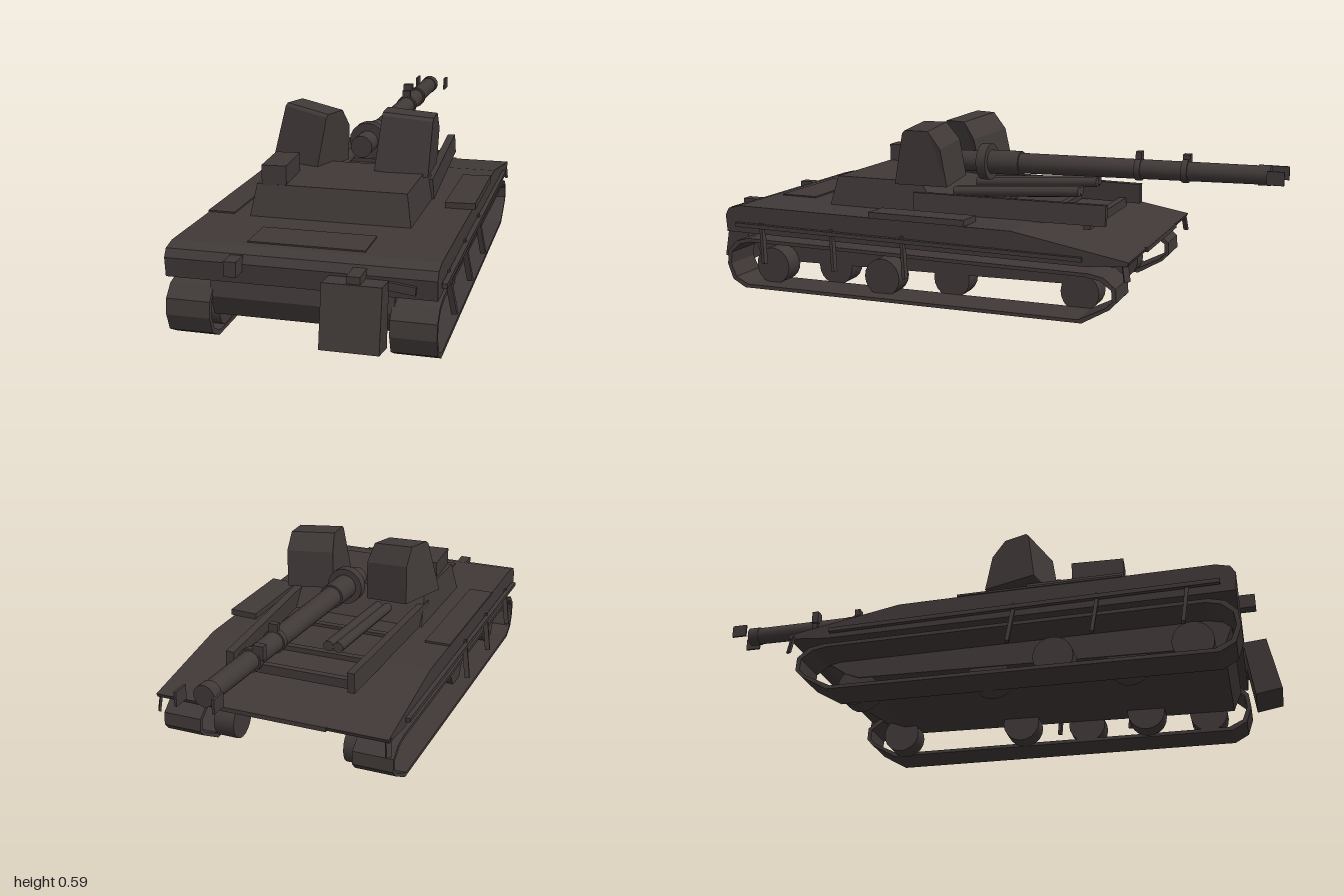
import * as THREE from 'three';

const paint = new THREE.MeshStandardMaterial({ color: 0x403938 });
paint.name = 'dark brown grey';

export function createModel() {
  const model = new THREE.Group();
  model.name = 'trackedVehicle';

  const add = (name, geo) => {
    const mesh = new THREE.Mesh(geo, paint);
    mesh.name = name;
    model.add(mesh);
    return mesh;
  };
  // Side profile of [z, y] points, extruded from x0 to x1
  const prism = (pts, x0, x1, hole) => {
    const toV = ([z, y]) => new THREE.Vector2(-z, y);
    const shape = new THREE.Shape(pts.map(toV));
    if (hole) shape.holes.push(new THREE.Path(hole.map(toV).reverse()));
    return new THREE.ExtrudeGeometry(shape, { depth: x1 - x0, bevelEnabled: false })
      .rotateY(Math.PI / 2).translate(x0, 0, 0);
  };
  // Narrow a geometry in x above a height
  const taper = (geo, height, factor) => {
    const pos = geo.attributes.position;
    for (let i = 0; i < pos.count; i++)
      if (pos.getY(i) > height) pos.setX(i, pos.getX(i) * factor);
    geo.computeVertexNormals();
    return geo;
  };
  // Box given by its limits
  const box = (name, x0, x1, y0, y1, z0, z1) => {
    const m = add(name, new THREE.BoxGeometry(x1 - x0, y1 - y0, z1 - z0));
    m.position.set((x0 + x1) / 2, (y0 + y1) / 2, (z0 + z1) / 2);
    return m;
  };
  // Align a y-axis mesh between two points
  const between = (mesh, a, b) => {
    const p = new THREE.Vector3(...a), q = new THREE.Vector3(...b);
    mesh.position.copy(p).add(q).multiplyScalar(0.5);
    mesh.quaternion.setFromUnitVectors(new THREE.Vector3(0, 1, 0), q.sub(p).normalize());
  };
  const distance = (a, b) => new THREE.Vector3(...a).distanceTo(new THREE.Vector3(...b));
  const rod = (name, a, b, r0, r1 = r0, sides = 16) =>
    between(add(name, new THREE.CylinderGeometry(r1, r0, distance(a, b), sides)), a, b);
  const beam = (name, a, b, w, d) =>
    between(add(name, new THREE.BoxGeometry(w, distance(a, b), d)), a, b);

  // Hull
  add('upperHull', prism([[0.885, 0.53], [0.89, 0.59], [0.875, 0.615], [0.83, 0.626],
    [-0.2, 0.62], [-0.59, 0.553], [-0.585, 0.54], [-0.45, 0.527]], -0.407, 0.41));
  add('lowerHull', prism([[0.85, 0.53], [0.86, 0.47], [0.83, 0.403], [-0.38, 0.43],
    [-0.43, 0.45], [-0.56, 0.54]], -0.28, 0.28));
  box('frontLip', -0.2, 0.2, 0.54, 0.555, -0.595, -0.58);
  box('engineHatch', -0.18, 0.18, 0.624, 0.63, 0.66, 0.8);
  box('deckPlate', -0.41, -0.32, 0.622, 0.629, 0, 0.54);
  const plate = box('stowagePlate', 0.32, 0.42, 0.622, 0.643, -0.04, 0.31);
  plate.rotation.z = 0.03;

  // Hollow track bands
  const loop = [[0.82, 0.329], [0.87, 0.356], [0.89, 0.41], [0.885, 0.46], [0.85, 0.497],
    [0.8, 0.51], [-0.46, 0.506], [-0.51, 0.497], [-0.55, 0.465], [-0.553, 0.42],
    [-0.53, 0.395], [-0.44, 0.342]];
  const inner = loop.map(([z, y]) => [0.168 + (z - 0.168) * 0.98, 0.421 + (y - 0.421) * 0.86]);
  // Wheels as [z, outer x]; the deeper ones sit under the hull
  const wheels = [[0.74, 0.35], [0.525, 0.276], [0.3, 0.35], [0.07, 0.276], [-0.39, 0.276]];
  for (const s of [-1, 1]) {
    const side = s < 0 ? 'right' : 'left';
    const x = s < 0 ? -0.41 : 0.272;
    add(side + 'Track', prism(loop, x, x + 0.138, inner));
    for (const [z, outer] of wheels)
      rod(side + 'Wheel', [s * (outer - 0.075), 0.402, z], [s * outer, 0.402, z], 0.066, 0.066, 20);
    for (const z of [0.73, 0.45, 0.18])
      beam(side + 'Strut', [s * 0.407, 0.57, z + 0.01], [s * 0.43, 0.43, z - 0.01], 0.012, 0.018);
    beam(side + 'SideRail', [s * 0.42, 0.56, 0.84], [s * 0.415, 0.55, -0.44], 0.016, 0.014);
    beam(side + 'FrontStrut', [s * 0.4, 0.55, -0.575], [s * 0.405, 0.49, -0.585], 0.02, 0.008);
  }

  // Turret
  add('turret', taper(prism([[0.55, 0.62], [0.525, 0.726], [0.2, 0.726], [0.12, 0.62]],
    -0.265, 0.26), 0.7, 0.93));
  const hatch = box('roofBox', -0.235, -0.155, 0.72, 0.788, 0.35, 0.525);
  hatch.rotation.y = 0.06;

  // Forward frame: side walls, crossbars and recoil tubes
  beam('rightFrameWall', [-0.245, 0.655, 0.22], [-0.227, 0.65, -0.455], 0.026, 0.07);
  beam('leftFrameWall', [0.25, 0.655, 0.22], [0.205, 0.65, -0.455], 0.028, 0.07);
  for (const z of [-0.39, -0.22, 0])
    box('frameCrossbar', -0.23, 0.21, 0.6, 0.632, z - 0.012, z + 0.012);
  for (const x of [-0.13, -0.095, 0.08, 0.11])
    rod('recoilTube', [x, 0.675, 0.13], [x, 0.705, -0.33], 0.018, 0.018, 10);

  // Pair of roof housings, each rolled and turned a little
  const housing = [[0.1, 0], [0.065, 0.18], [0.055, 0.19], [-0.03, 0.19], [-0.075, 0.13], [-0.095, 0]];
  const addHousing = (name, x, z, yaw, roll) => {
    const m = add(name, taper(prism(housing, -0.09, 0.09), 0.17, 0.94));
    m.position.set(x, 0.722, z);
    m.rotation.set(0, yaw, roll, 'YXZ');
  };
  addHousing('rightHousing', -0.175, 0.165, -0.32, -0.13);
  addHousing('leftHousing', 0.165, 0.195, 0.04, -0.08);

  // Gun along a straight, slightly rising line
  const at = (z) => [-0.018 * z, 0.771 - 0.016 * z, z];
  const gun = (name, z0, z1, r0, r1) => rod(name, at(z0), at(z1), r0, r1, 20);
  gun('barrel', 0.15, -0.95, 0.038, 0.031);
  gun('mantlet', 0.07, 0.035, 0.065, 0.065);
  gun('mantletSleeve', 0.04, -0.08, 0.043, 0.043);
  gun('barrelCollar', -0.5, -0.52, 0.039, 0.039);
  gun('barrelCollar', -0.66, -0.68, 0.039, 0.039);
  gun('muzzleRing', -0.91, -0.95, 0.034, 0.034);
  box('barrelClamp', -0.035, 0, 0.79, 0.835, -0.68, -0.655);
  box('barrelClamp', -0.005, 0.025, 0.81, 0.84, -0.52, -0.5);
  for (const x of [-0.04, 0.08])
    box('muzzlePlate', x - 0.004, x + 0.004, 0.765, 0.81, -1, -0.945);

  // Rear fittings
  add('rearBin', prism([[0.91, 0.385], [1, 0.4], [0.965, 0.587], [0.885, 0.58]], 0.095, 0.27));
  box('rearBinBracket', 0.165, 0.205, 0.57, 0.608, 0.88, 0.955);
  box('rearLamp', -0.203, -0.165, 0.567, 0.613, 0.88, 0.94);
  const flap = box('rearFlap', 0.27, 0.35, 0.55, 0.575, 0.885, 0.9);
  flap.rotation.z = -0.12;

  return model;
}
